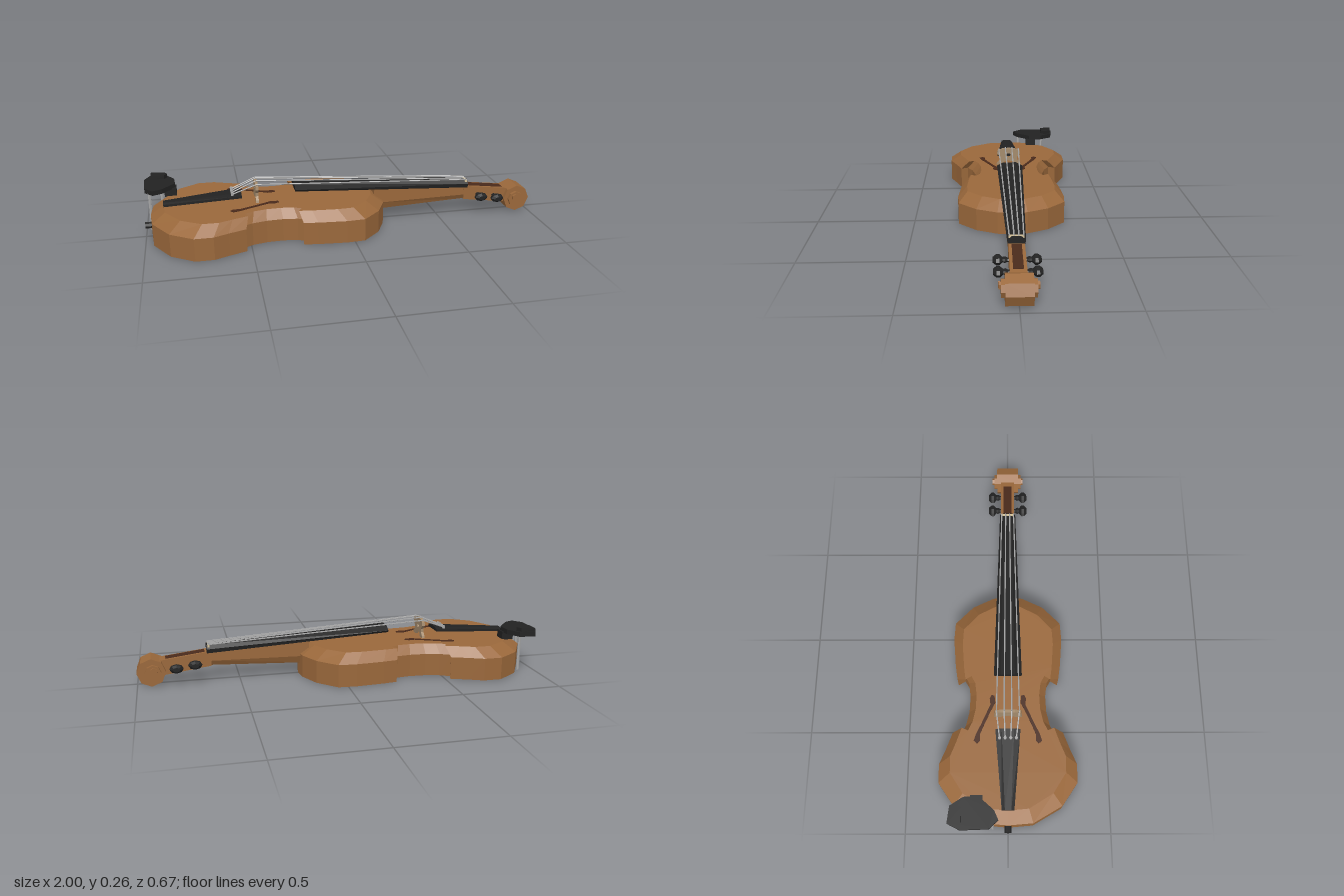
import * as THREE from 'three';

const mat = (name, color) => {
  const m = new THREE.MeshStandardMaterial({ color });
  m.name = name;
  return m;
};

// Faceted solid through rings of [x, y, z] points; `drop` is the axis the caps face along.
function loft(rings, drop) {
  rings = rings.map(r => r.map(p => new THREE.Vector3(...p)));
  const mid = r => r.reduce((s, p) => s.add(p), new THREE.Vector3()).divideScalar(r.length);
  const last = rings.length - 1;
  const dir = mid(rings[last]).sub(mid(rings[0]));
  const area = new THREE.Vector3();
  rings[0].forEach((p, i, r) => area.add(p.clone().cross(r[(i + 1) % r.length])));
  if (area.dot(dir) < 0) rings.forEach(r => r.reverse());
  const tris = [];
  for (let k = 0; k < last; k++) {
    const a = rings[k], b = rings[k + 1];
    for (let i = 0; i < a.length; i++) {
      const j = (i + 1) % a.length;
      tris.push(a[i], a[j], b[j], a[i], b[j], b[i]);
    }
  }
  for (const [ring, sign] of [[rings[0], -1], [rings[last], 1]]) {
    const flat = ring.map(p => drop === 'x' ? new THREE.Vector2(p.y, p.z) : new THREE.Vector2(p.x, p.z));
    for (const [i, j, k] of THREE.ShapeUtils.triangulateShape(flat, [])) {
      const [p, q, r] = [ring[i], ring[j], ring[k]];
      const n = q.clone().sub(p).cross(r.clone().sub(p));
      tris.push(...(n.dot(dir) * sign > 0 ? [p, q, r] : [p, r, q]));
    }
  }
  return new THREE.BufferGeometry().setFromPoints(tris);
}

// Flat plan outline [x, z] raised between two heights
const slab = (plan, y0, y1) => loft([y0, y1].map(y => plan.map(([x, z]) => [x, y, z])), 'y');

// Straight round bar between two points
function rod(a, b, r, sides = 6) {
  const p = new THREE.Vector3(...a), d = new THREE.Vector3(...b).sub(p);
  const g = new THREE.CylinderGeometry(r, r, d.length(), sides);
  g.applyQuaternion(new THREE.Quaternion().setFromUnitVectors(new THREE.Vector3(0, 1, 0), d.clone().normalize()));
  return g.translate(p.x + d.x / 2, p.y + d.y / 2, p.z + d.z / 2);
}

export function createModel() {
  const model = new THREE.Group();
  const wood = mat('varnished wood', 0x9a683b);
  const ebony = mat('ebony', 0x222222);
  const steel = mat('steel', 0xa6a6a6);
  const maple = mat('pale maple', 0xa38a6c);
  const shade = mat('dark opening', 0x4a2a1b);
  const bone = mat('bone', 0xd8c49a);

  const add = (name, geometry, material) => {
    const g = geometry.index ? geometry.toNonIndexed() : geometry;
    g.computeVertexNormals();
    const mesh = new THREE.Mesh(g, material);
    mesh.name = name;
    model.add(mesh);
    return mesh;
  };

  // Waisted body: upright ribs and a sloped shoulder to a flat top
  const half = [[-0.96, 0.12], [-0.88, 0.26], [-0.77, 0.336], [-0.68, 0.336], [-0.61, 0.305],
    [-0.525, 0.272], [-0.54, 0.235], [-0.49, 0.208], [-0.42, 0.191], [-0.34, 0.187], [-0.27, 0.196],
    [-0.23, 0.22], [-0.25, 0.255], [-0.18, 0.265], [-0.04, 0.276], [0.05, 0.27], [0.14, 0.18], [0.19, 0.075]];
  const plan = [[-0.97, 0], ...half, [0.2, 0], ...half.map(([x, z]) => [x, -z]).reverse()];
  const outline = (y, sx, sz) => plan.map(([x, z]) => [-0.39 + (x + 0.39) * sx, y, z * sz]);
  add('body', loft([outline(0, 1, 1), outline(0.113, 1, 1), outline(0.16, 0.89, 0.83)], 'y'), wood);

  // Curved sound holes with round ends
  for (const s of [-1, 1]) {
    const slit = [[-0.575, 0.135], [-0.545, 0.137], [-0.5, 0.118], [-0.43, 0.086], [-0.385, 0.062],
      [-0.35, 0.066], [-0.345, 0.08], [-0.365, 0.09], [-0.395, 0.086], [-0.425, 0.1],
      [-0.495, 0.132], [-0.54, 0.155], [-0.575, 0.166], [-0.588, 0.15]];
    add('soundHole', slab(slit.map(([x, z]) => [x, z * s]), 0.159, 0.163), shade);
  }

  // Neck, tapering toward the head
  const neckRing = (x, w, top, bottom) => {
    const m = bottom + (top - bottom) * 0.35;
    return [[x, top, -w], [x, top, w], [x, m, w], [x, bottom, w * 0.6], [x, bottom, -w * 0.6], [x, m, -w]];
  };
  add('neck', loft([neckRing(0.15, 0.044, 0.174, 0.06), neckRing(0.64, 0.035, 0.152, 0.08)], 'x'), wood);

  // Fingerboard with a cambered top
  const boardRing = (x, w, top, bottom) => [[x, bottom, -w * 0.9], [x, top - 0.018, -w], [x, top, -w * 0.5],
    [x, top, w * 0.5], [x, top - 0.018, w], [x, bottom, w * 0.9]];
  add('fingerboard', loft([boardRing(-0.26, 0.069, 0.231, 0.203), boardRing(0.66, 0.041, 0.184, 0.145)], 'x'), ebony);
  add('nut', new THREE.BoxGeometry(0.01, 0.012, 0.07).translate(0.65, 0.181, 0), bone);

  // Pegbox with a dark slot along its top
  const boxRing = (x, w, top, bottom) => [[x, top, -w], [x, top, w], [x, bottom, w], [x, bottom, -w]];
  add('pegbox', loft([boxRing(0.64, 0.036, 0.154, 0.08), boxRing(0.9, 0.036, 0.122, 0.045)], 'x'), wood);
  add('pegboxSlot', loft([boxRing(0.67, 0.022, 0.153, 0.148), boxRing(0.86, 0.022, 0.1295, 0.1245)], 'x'), shade);

  // Scroll: stacked eight-sided drums
  add('scroll', rod([0.93, 0.071, -0.058], [0.93, 0.071, 0.058], 0.07, 8), wood);
  add('scrollStep', rod([0.922, 0.072, -0.074], [0.922, 0.072, 0.074], 0.04, 8), wood);
  add('scrollEye', rod([0.918, 0.083, -0.084], [0.918, 0.083, 0.084], 0.019, 6), wood);

  // Tuning pegs
  const pegProfile = [[0, 0], [0.013, 0], [0.013, 0.042], [0.02, 0.053], [0.016, 0.062],
    [0.034, 0.076], [0.033, 0.09], [0.018, 0.104], [0, 0.104]].map(p => new THREE.Vector2(...p));
  for (const [x, y] of [[0.72, 0.104], [0.81, 0.091]]) {
    for (const s of [-1, 1]) {
      const g = new THREE.LatheGeometry(pegProfile, 8).rotateX(s * Math.PI / 2).scale(1, 0.65, 1);
      add('tuningPeg', g.translate(x, y, 0), ebony);
    }
  }

  // Tailpiece and end pin
  const tailRing = (x, w, top) => [[x, top - 0.018, -w], [x, top - 0.006, -w], [x, top, -w * 0.5],
    [x, top, w * 0.5], [x, top - 0.006, w], [x, top - 0.018, w]];
  add('tailpiece', loft([tailRing(-0.905, 0.03, 0.178), tailRing(-0.525, 0.061, 0.206)], 'x'), ebony);
  add('endPin', rod([-1, 0.06, 0], [-0.95, 0.06, 0], 0.017, 8), ebony);

  // Bridge: arched plate on two feet with an open heart
  const bridge = new THREE.Shape([[-0.07, 0.158], [-0.035, 0.158], [-0.025, 0.178], [0, 0.186], [0.025, 0.178],
    [0.035, 0.158], [0.07, 0.158], [0.066, 0.172], [0.048, 0.188], [0.048, 0.205], [0.066, 0.225], [0.063, 0.243],
    [0.035, 0.254], [0, 0.257], [-0.035, 0.254], [-0.063, 0.243], [-0.066, 0.225], [-0.048, 0.205],
    [-0.048, 0.188], [-0.066, 0.172]].map(p => new THREE.Vector2(...p)));
  bridge.holes.push(new THREE.Path([[-0.014, 0.213], [0, 0.2], [0.014, 0.213], [0.009, 0.225], [-0.009, 0.225]]
    .map(p => new THREE.Vector2(...p))));
  add('bridge', new THREE.ExtrudeGeometry(bridge, { depth: 0.014, bevelEnabled: false })
    .rotateY(Math.PI / 2).translate(-0.457, 0, 0), maple);

  // Strings with fine tuners on the tailpiece
  for (const k of [-1.5, -0.5, 0.5, 1.5]) {
    const crest = [-0.45, Math.abs(k) > 1 ? 0.252 : 0.259, k * 0.037];
    const tail = [-0.57, 0.205, k * 0.027];
    add('string', rod(tail, crest, 0.0035, 5), steel);
    add('string', rod(crest, [0.655, 0.188, k * 0.021], 0.0035, 5), steel);
    add('fineTuner', rod([-0.57, 0.195, k * 0.027], [-0.57, 0.214, k * 0.027], 0.008), steel);
  }

  // Chin rest: shaped plate, raised rim, foot and clamp posts
  const rest = [[-0.97, -0.284], [-0.89, -0.273], [-0.85, -0.21], [-0.845, -0.14], [-0.91, -0.065],
    [-0.955, -0.045], [-0.995, -0.09], [-1, -0.225]];
  add('chinRest', slab(rest, 0.195, 0.219), ebony);
  const rim = [[-0.967, -0.277], [-0.9, -0.267], [-0.885, -0.24], [-0.9, -0.217], [-0.967, -0.217]];
  add('chinRestRim', slab(rim, 0.215, 0.238), ebony);
  add('chinRestFoot', new THREE.BoxGeometry(0.06, 0.042, 0.058).translate(-0.87, 0.178, -0.149), ebony);
  for (const [x, z] of [[-0.972, -0.075], [-0.918, -0.217]]) {
    add('chinRestClamp', rod([x, 0.003, z], [x, 0.2, z], 0.008), steel);
  }

  return model;
}
